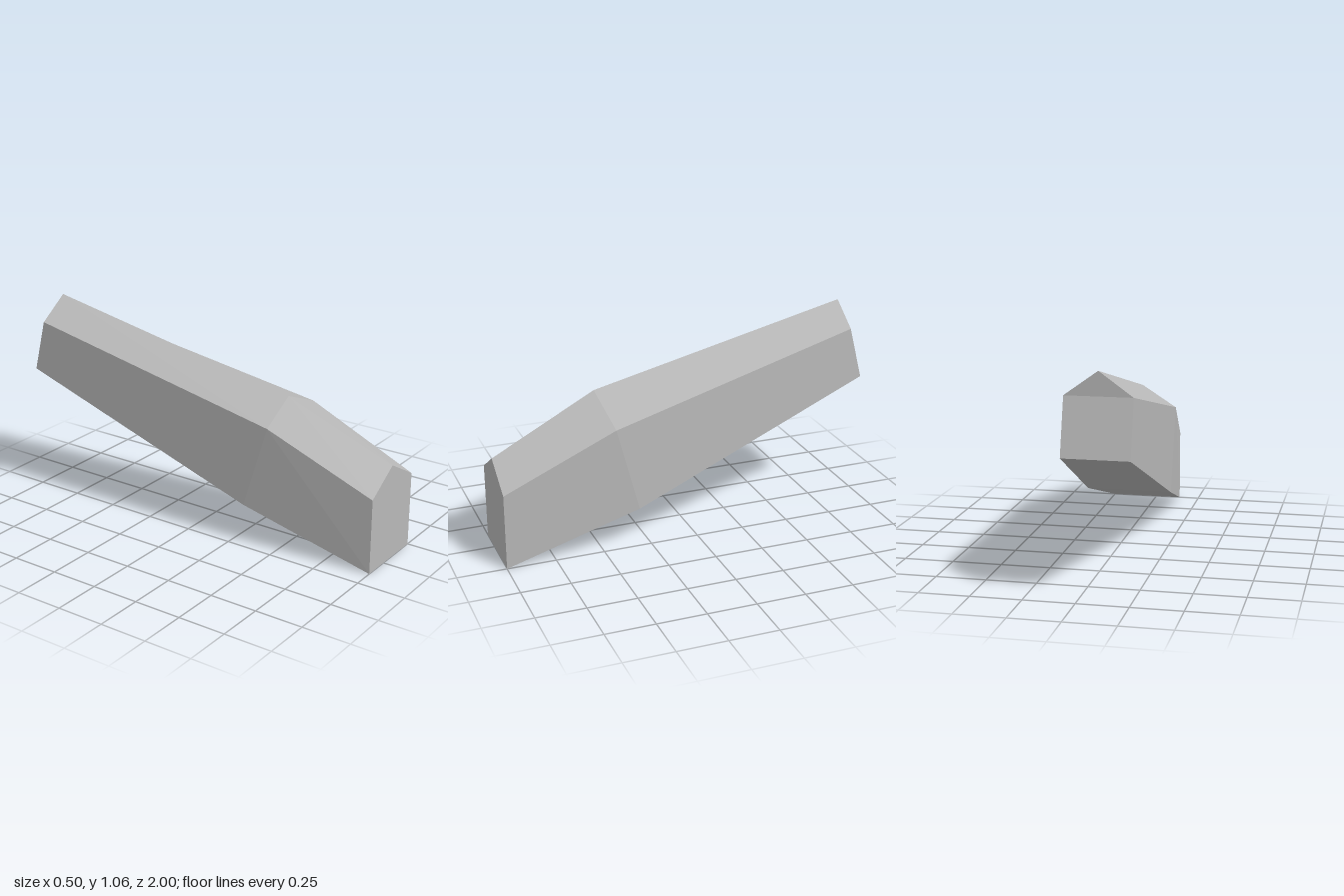
import * as THREE from 'three';

// Five-cornered cross-sections from front to back:
// lower right, lower left, left shoulder, ridge, right shoulder
const SECTIONS = [
  [[-0.14, 0, 1], [0.25, 0, 1], [0.25, 0.39, 1], [0.045, 0.505, 1], [-0.14, 0.39, 1]],
  [[-0.207, 0.205, 0.31], [0.25, 0.205, 0.31], [0.25, 0.645, 0.425], [-0.025, 0.76, 0.45], [-0.207, 0.645, 0.445]],
  [[-0.255, 0.67, -1], [0.065, 0.67, -1], [0.065, 0.942, -0.93], [-0.095, 1.057, -0.93], [-0.255, 0.942, -0.93]],
];

function loftGeometry(sections) {
  const positions = [];
  const tri = (a, b, c) => positions.push(...a, ...b, ...c);

  // Faceted skin between neighbouring sections
  for (let s = 0; s < sections.length - 1; s++) {
    const near = sections[s], far = sections[s + 1], n = near.length;
    for (let i = 0; i < n; i++) {
      const j = (i + 1) % n;
      tri(near[i], far[i], near[j]);
      tri(near[j], far[i], far[j]);
    }
  }

  // End caps: a square lower part with a gable above
  const [a, b, c, d, e] = sections[0];
  tri(a, b, c); tri(a, c, e); tri(e, c, d);
  const [p, q, r, t, u] = sections[sections.length - 1];
  tri(p, r, q); tri(p, u, r); tri(u, t, r);

  const geometry = new THREE.BufferGeometry();
  geometry.setAttribute('position', new THREE.Float32BufferAttribute(positions, 3));
  geometry.computeVertexNormals();
  return geometry;
}

export function createModel() {
  const group = new THREE.Group();
  group.name = 'facetedBeam';
  const grey = new THREE.MeshStandardMaterial({ color: 0xb8b8b8 });
  grey.name = 'light grey';
  grey.flatShading = true;

  const body = new THREE.Mesh(loftGeometry(SECTIONS), grey);
  body.name = 'ridgedBody';
  group.add(body);
  return group;
}
